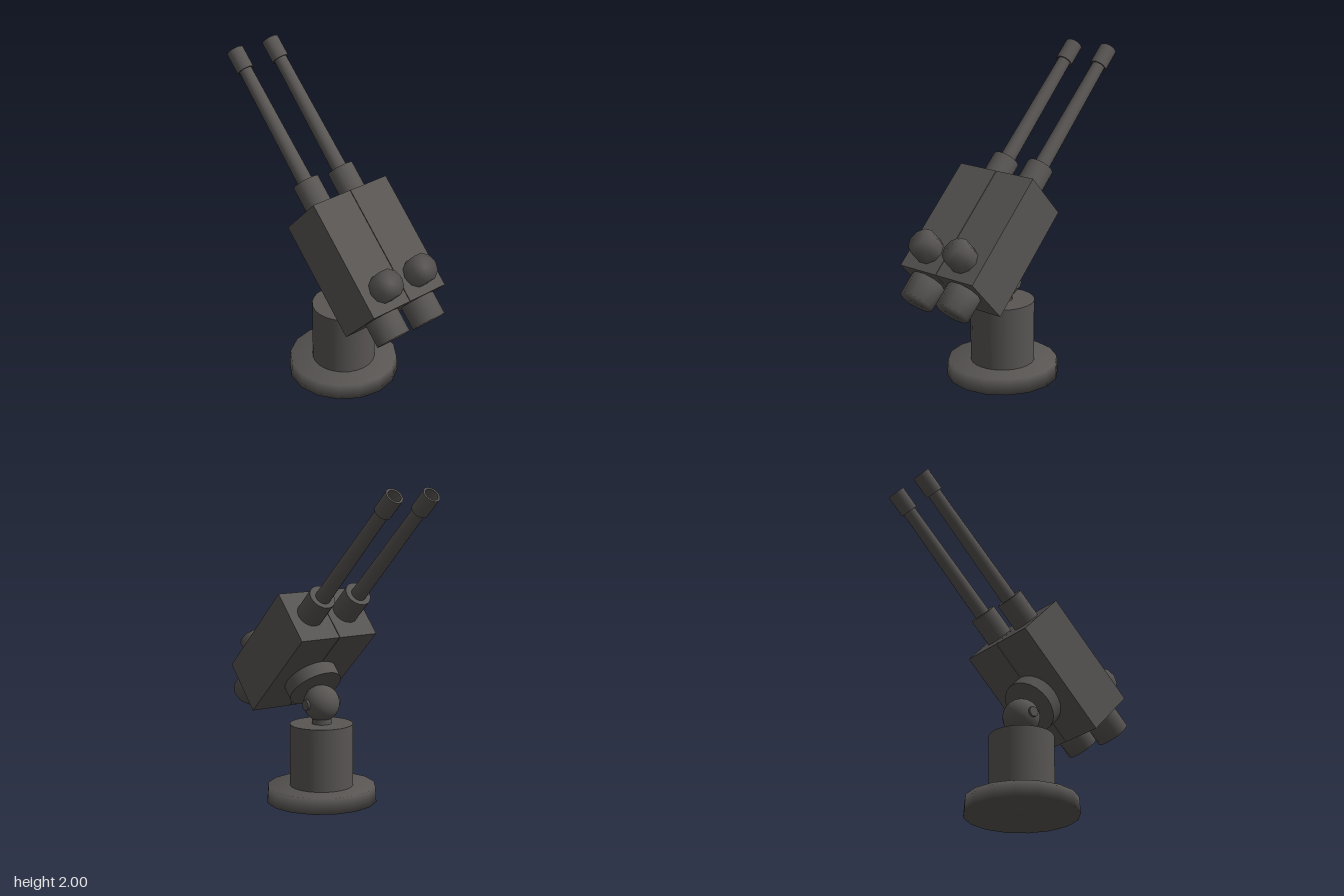
import * as THREE from 'three';
import { mergeVertices } from 'three/addons/utils/BufferGeometryUtils.js';

export function createModel() {
  const model = new THREE.Group();
  model.name = 'twinGunTurret';
  const gunmetal = new THREE.MeshStandardMaterial({ color: 0x585553 });
  gunmetal.name = 'gunmetal';

  const add = (parent, name, geometry, x = 0, y = 0, z = 0) => {
    const mesh = new THREE.Mesh(geometry, gunmetal);
    mesh.name = name;
    mesh.position.set(x, y, z);
    parent.add(mesh);
    return mesh;
  };
  // Blends the normals over the rim for a softly shaded look
  const soften = (geometry) => {
    geometry.deleteAttribute('normal');
    geometry.deleteAttribute('uv');
    const merged = mergeVertices(geometry, 1e-4);
    merged.computeVertexNormals();
    return merged;
  };
  const cylinder = (rTop, rBottom, height, sides) =>
    new THREE.CylinderGeometry(rTop, rBottom, height, sides);

  // Pedestal
  const stand = new THREE.Group();
  stand.name = 'stand';
  stand.position.x = 0.105;
  model.add(stand);
  add(stand, 'basePlate', soften(cylinder(0.343, 0.35, 0.1, 16)), 0, 0.05, 0);
  add(stand, 'pedestal', cylinder(0.2, 0.2, 0.4, 24), 0, 0.295, 0);
  add(stand, 'neck', cylinder(0.062, 0.062, 0.07, 16), 0, 0.52, 0);
  add(stand, 'ballJoint', new THREE.SphereGeometry(0.115, 24, 16), 0, 0.625, 0);
  const pin = add(stand, 'jointPin', cylinder(0.033, 0.033, 0.25, 12), 0, 0.625, 0);
  pin.rotation.x = Math.PI / 2;

  // Tilted gun head: local y runs along the barrels, local x is its upper side
  const head = new THREE.Group();
  head.name = 'gunHead';
  head.position.set(0.31, 0.94, 0);
  head.rotation.z = 0.819;
  model.add(head);

  const mount = add(head, 'mountDisc', cylinder(0.175, 0.175, 0.09, 24), -0.222, -0.055, 0);
  mount.rotation.z = Math.PI / 2;

  // Open muzzle with a recessed bore
  const muzzleProfile = [
    [0.046, 1.345], [0.055, 1.345], [0.055, 1.345], [0.055, 1.487], [0.055, 1.487],
    [0.042, 1.487], [0.042, 1.487], [0.042, 1.4], [0.042, 1.4], [0, 1.4],
  ].map(([r, y]) => new THREE.Vector2(r, y));

  for (const side of [1, -1]) {
    const gun = new THREE.Group();
    gun.name = side > 0 ? 'frontGun' : 'backGun';
    gun.position.z = side * 0.1425;
    head.add(gun);
    const inset = -side * 0.0075;

    add(gun, 'housing', new THREE.BoxGeometry(0.362, 0.752, 0.281));
    add(gun, 'barrelCollar', cylinder(0.085, 0.085, 0.2, 16), 0.005, 0.458, inset);
    add(gun, 'barrel', cylinder(0.041, 0.049, 0.83, 16), 0, 0.94, inset);
    add(gun, 'muzzle', new THREE.LatheGeometry(muzzleProfile, 16), 0, 0, inset);

    // Stubby caps on the upper face and the rear face
    const topCap = add(gun, 'topCap', soften(cylinder(0.09, 0.09, 0.13, 10)), 0.221, -0.239, inset);
    topCap.rotation.z = -Math.PI / 2;
    add(gun, 'rearCap', soften(cylinder(0.108, 0.108, 0.18, 10)), 0.05, -0.435, 0);
  }
  return model;
}
